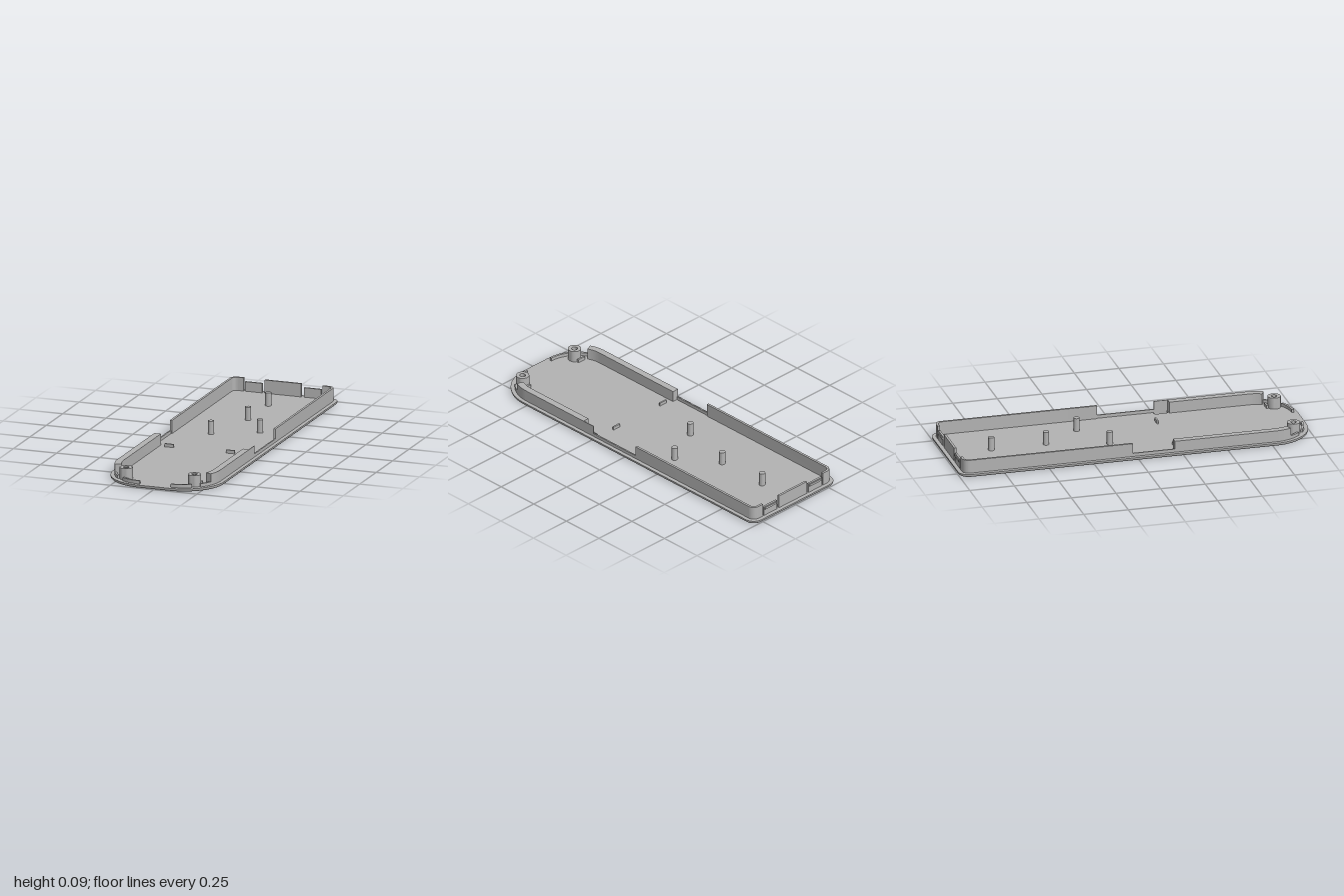
import * as THREE from 'three';
import { toCreasedNormals } from 'three/addons/utils/BufferGeometryUtils.js';

const RAD = Math.PI / 180;
const TOP = 0.017; // upper face of the base plate

// Arc points as [x, z], angle measured from +x towards +z
function arc(cx, cz, r, a0, a1, n = 12) {
  return Array.from({ length: n + 1 }, (_, i) => {
    const a = (a0 + (a1 - a0) * i / n) * RAD;
    return [cx + r * Math.cos(a), cz + r * Math.sin(a)];
  });
}

// Plate outline: broad corners in front, tight corners behind
function outline(d) {
  return [
    ...arc(0.09, 0.77, 0.23 - d, 0, 90, 20), ...arc(-0.09, 0.77, 0.23 - d, 90, 180, 20),
    ...arc(-0.26, -0.94, 0.06 - d, 180, 270), ...arc(0.26, -0.94, 0.06 - d, 270, 360),
  ];
}

const holes = [
  arc(0.197, 0.897, 0.025, 0, 360, 24).slice(0, -1),
  arc(-0.197, 0.897, 0.025, 0, 360, 24).slice(0, -1),
  [...arc(0.28, 0.31, 0.015, 0, 180), ...arc(0.28, 0.26, 0.015, 180, 360)],
];

const toVectors = (pts, s) => pts.map(([x, z]) => new THREE.Vector2(x, z * s));

export function createModel() {
  const group = new THREE.Group();
  const grey = new THREE.MeshStandardMaterial({ color: 0xb3b3b3 });
  grey.name = 'grey plastic';

  function add(name, geometry, x = 0, y = 0, z = 0) {
    const mesh = new THREE.Mesh(toCreasedNormals(geometry, 0.6), grey);
    mesh.name = name;
    mesh.position.set(x, y, z);
    group.add(mesh);
  }

  function box(name, w, h, d, x, z, y = TOP) {
    add(name, new THREE.BoxGeometry(w, h, d), x, y + h / 2, z);
  }

  // Surface joining closed loops; each loop is [points, height]
  function loft(loops, inward) {
    const pos = [], idx = [], n = loops[0][0].length;
    loops.forEach(([pts, y]) => pts.forEach(([x, z]) => pos.push(x, y, z)));
    for (let j = 0; j < loops.length - 1; j++) {
      for (let i = 0; i < n; i++) {
        const a = j * n + i, b = j * n + (i + 1) % n, c = a + n, d = b + n;
        if (inward) idx.push(a, b, c, b, d, c);
        else idx.push(a, c, b, b, c, d);
      }
    }
    const g = new THREE.BufferGeometry();
    g.setAttribute('position', new THREE.Float32BufferAttribute(pos, 3));
    g.setIndex(idx);
    return g;
  }

  // Upright wall between an outer and an inner path, mirrored by side
  function wall(name, path, d0, d1, height, side) {
    const pts = [...path(d0), ...path(d1).reverse()].map(([x, z]) => [x * side, z]);
    const g = new THREE.ExtrudeGeometry(new THREE.Shape(toVectors(pts, -1)),
      { depth: height - TOP + 0.002, bevelEnabled: false });
    g.rotateX(-Math.PI / 2);
    add(name, g, 0, TOP - 0.002, 0);
  }

  // Base plate with a rounded lower rim
  const rim = [0, 30, 60, 90].map(a => [
    outline(0.012 * (1 - Math.sin(a * RAD))), 0.012 * (1 - Math.cos(a * RAD))]);
  add('plateRim', loft([...rim, [outline(0), TOP]], false));
  for (const up of [true, false]) {
    const s = up ? -1 : 1;
    const shape = new THREE.Shape(toVectors(outline(up ? 0 : 0.012), s));
    shape.holes = holes.map(h => new THREE.Path(toVectors(h, s)));
    const cap = new THREE.ShapeGeometry(shape);
    cap.rotateX(s * Math.PI / 2);
    add(up ? 'plateTop' : 'plateUnderside', cap, 0, up ? TOP : 0, 0);
  }
  add('slotWall', loft([[holes[2], 0], [holes[2], TOP]], true));

  for (const side of [1, -1]) {
    const right = side > 0;
    const backEnd = right ? -0.07 : -0.03;
    const frontStart = right ? 0.25 : 0.205;

    // Tall rear wall wrapping round the corner
    wall('rearWall', d => [[0.32 - d, backEnd],
      ...arc(0.26, -0.94, 0.06 - d, 0, -90), [0.228, -1 + d]], 0.022, 0.035, 0.091, side);
    // Low sill between the tall walls
    wall('sideSill', d => [[0.32 - d, backEnd], [0.32 - d, frontStart]],
      0.022, 0.03, 0.035, side);
    // Front wall: a thin outer skin and a thick inner part
    const front = z0 => d => [[0.32 - d, z0], ...arc(0.09, 0.77, 0.23 - d, 0, 25.6)];
    wall('frontWallSkin', front(frontStart), 0.022, 0.026, 0.08, side);
    wall('frontWall', front(right ? 0.328 : frontStart), 0.026, 0.06, 0.08, side);
    // Low lips around the front curve
    wall('sideLip', d => arc(0.09, 0.77, 0.23 - d, 25, 44), 0.022, 0.034, 0.035, side);
    wall('frontLip', d => arc(0.09, 0.77, 0.23 - d, 58, 90), 0.022, 0.034, 0.035, side);

    // Rear latch with a small bead
    box('rearLatch', 0.1, 0.053, 0.012, side * 0.17, -0.972);
    box('latchBead', 0.09, 0.012, 0.006, side * 0.17, -0.98, 0.054);

    // Screw boss with a counterbore from below
    const profile = [[0.036, TOP], [0.036, 0.081], [0.016, 0.081],
      [0.016, 0.04], [0.025, 0.04], [0.025, 0]].map(p => new THREE.Vector2(...p));
    add('screwBoss', new THREE.LatheGeometry(profile, 24), side * 0.197, 0, 0.897);
    box('bossRib', 0.048, 0.018, 0.01, side * 0.205, 0.855);
  }

  // Raised tab in the middle of the rear edge
  box('rearTab', 0.21, 0.074, 0.013, 0, -0.9715);

  // Locating ribs on the floor
  for (const x of [-0.203, 0.15]) box('floorRib', 0.05, 0.018, 0.01, x, 0.226);

  // Support pins
  for (const [x, z] of [[0, -0.742], [0, -0.435], [0.15, -0.222], [-0.088, -0.102]]) {
    add('supportPin', new THREE.CylinderGeometry(0.017, 0.017, 0.074, 20), x, TOP + 0.037, z);
  }

  return group;
}
